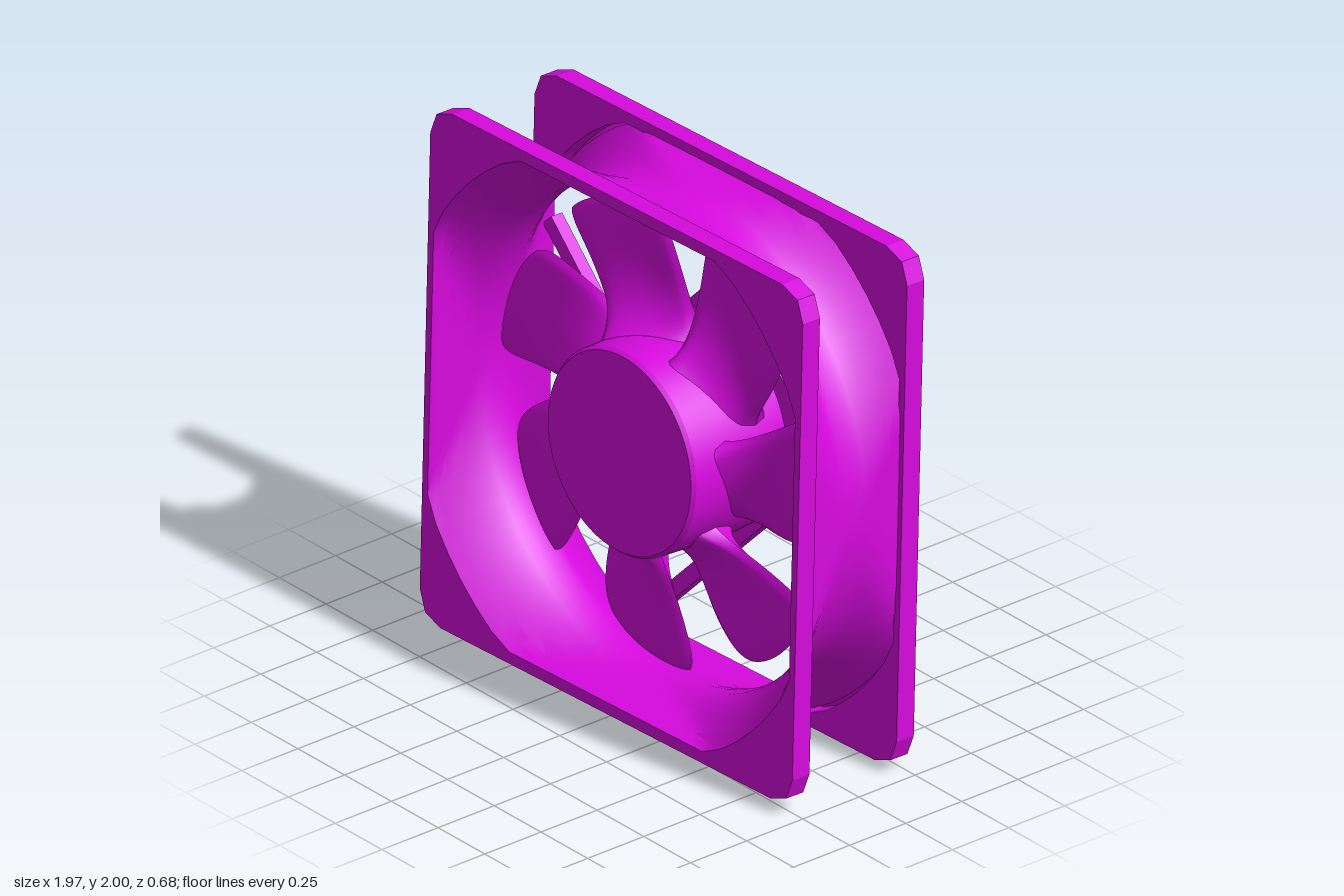
import * as THREE from 'three';
import { toCreasedNormals } from 'three/addons/utils/BufferGeometryUtils.js';

const HALF_W = 0.964, HALF_H = 0.979, HALF_D = 0.277, FLANGE = 0.078;
const material = new THREE.MeshStandardMaterial({ color: 0xd60ade, side: THREE.DoubleSide });
const rad = THREE.MathUtils.degToRad;

function part(name, geometry) {
  const mesh = new THREE.Mesh(geometry, material);
  mesh.name = name;
  return mesh;
}

// Surface through f(u, v) -> [x, y, z], facing dU x dV
function grid(nu, nv, f) {
  const pos = [], index = [];
  for (let i = 0; i <= nu; i++) {
    for (let j = 0; j <= nv; j++) {
      pos.push(...f(i / nu, j / nv));
      if (i < nu && j < nv) {
        const a = i * (nv + 1) + j, b = a + nv + 1;
        index.push(a, b, a + 1, b, b + 1, a + 1);
      }
    }
  }
  const g = new THREE.BufferGeometry();
  g.setAttribute('position', new THREE.Float32BufferAttribute(pos, 3));
  g.setIndex(index);
  g.computeVertexNormals();
  return g;
}

// Duct cross-section: a circle that widens into the corners towards both ends
function ductPoint(angle, z, wall) {
  const a = Math.max(0, (Math.abs(z) - 0.04) / (HALF_D - 0.04)) ** 1.4;
  const c = Math.cos(angle), s = Math.sin(angle);
  const side = (0.92 + 0.015 * a) / Math.max(Math.abs(c), Math.abs(s));
  const r = Math.min(0.92 + 0.15 * a, side) + wall;
  return [r * c, r * s, z];
}

function ductSurface(wall, dir, depth) {
  return toCreasedNormals(
    grid(64, 16, (u, v) => ductPoint(u * Math.PI * 2, dir * (2 * v - 1) * depth, wall)), 0.6);
}

// Square flange with cut corners and the duct opening
function flangeGeometry() {
  const pts = [];
  for (const [sx, sy] of [[1, 1], [-1, 1], [-1, -1], [1, -1]]) {
    const corner = [[0, 0.11], [0.03, 0.03], [0.11, 0]]
      .map(([dx, dy]) => new THREE.Vector2(sx * (HALF_W - dx), sy * (HALF_H - dy)));
    pts.push(...(sx * sy > 0 ? corner : corner.reverse()));
  }
  const shape = new THREE.Shape(pts);
  const hole = [];
  for (let i = 0; i < 64; i++) {
    const [x, y] = ductPoint(i / 64 * Math.PI * 2, HALF_D, 0);
    hole.push(new THREE.Vector2(x, y));
  }
  shape.holes.push(new THREE.Path(hole));
  return new THREE.ExtrudeGeometry(shape, { depth: FLANGE, bevelEnabled: false });
}

// Motor plate with four tangential struts, as one outline
function mountGeometry() {
  const R = 0.395, inner = 0.337, reach = 0.93, pts = [];
  const fillet = new THREE.QuadraticBezierCurve(
    new THREE.Vector2(R * Math.cos(rad(122)), R * Math.sin(rad(122))),
    new THREE.Vector2(-0.32, 0.235), new THREE.Vector2(-inner, 0.37));
  const quarter = [new THREE.Vector2(reach, inner), new THREE.Vector2(reach, R)];
  for (let a = 90; a < 122; a += 8) {
    quarter.push(new THREE.Vector2(R * Math.cos(rad(a)), R * Math.sin(rad(a))));
  }
  quarter.push(...fillet.getPoints(8));
  for (let k = 0; k < 4; k++) {
    const turn = rad(45 + 90 * k);
    pts.push(...quarter.map((p) => p.clone().rotateAround(new THREE.Vector2(), turn)));
  }
  return new THREE.ExtrudeGeometry(new THREE.Shape(pts), { depth: 0.05, bevelEnabled: false });
}

// One side of a broad, gently twisted blade with a thick root (side = 1 front, -1 back)
function bladeSurface(side) {
  return grid(28, 20, (s, v) => {
    const t = side > 0 ? v : 1 - v;
    const tip = 0.856 - 0.03 * (1 - t) ** 5 - 0.01 * t ** 12;
    const r = 0.35 + s * (tip - 0.35);
    const trailing = 94 - 18 * (1 - s) - 10 * (1 - s) ** 8 + 3 * s ** 16;
    const leading = 128 - 8 * (1 - s) ** 1.6 + 6 * (1 - s) ** 9 - 1.5 * s ** 20;
    const angle = rad(THREE.MathUtils.lerp(trailing, leading, t));
    const pitch = 0.01 + 0.08 * (1 - s) ** 2.5;
    const edge = Math.sqrt(1 - (2 * t - 1) ** 6) * Math.sqrt(1 - s ** 10);
    const thick = (0.015 + 0.12 * (1 - s) ** 6) * edge;
    return [r * Math.cos(angle), r * Math.sin(angle), 0.01 + (2 * t - 1) * pitch + side * thick];
  });
}

export function createModel() {
  const model = new THREE.Group();
  model.name = 'caseFan';
  const fan = new THREE.Group();
  fan.name = 'fan';
  // The whole fan leans slightly
  fan.position.y = 1;
  fan.rotation.set(-0.038, 0.028, 0.013);
  model.add(fan);

  // Housing
  const flange = flangeGeometry();
  const front = part('frontFlange', flange);
  front.position.z = HALF_D - FLANGE;
  const back = part('backFlange', flange);
  back.position.z = -HALF_D;
  fan.add(front, back);
  fan.add(part('ductInside', ductSurface(0, -1, HALF_D)));
  fan.add(part('ductOutside', ductSurface(0.016, 1, HALF_D - FLANGE / 2)));

  // Rear motor mount
  const mount = part('motorMount', mountGeometry());
  mount.position.z = -HALF_D;
  fan.add(mount);

  // Rotor hub
  const profile = [[0, -0.19], [0.38, -0.19], [0.388, -0.1], [0.39, 0], [0.386, 0.1],
    [0.381, 0.225], [0.37, 0.24], [0, 0.24]].map(([x, y]) => new THREE.Vector2(x, y));
  const hub = new THREE.LatheGeometry(profile, 64).rotateX(Math.PI / 2);
  fan.add(part('hub', toCreasedNormals(hub, 0.5)));
  const motor = new THREE.CylinderGeometry(0.33, 0.33, 0.06, 40).rotateX(Math.PI / 2);
  motor.translate(0, 0, -0.21);
  fan.add(part('motor', motor));

  // Seven blades, set slightly off the hub centre
  const sides = [bladeSurface(1), bladeSurface(-1)];
  for (let i = 0; i < 7; i++) {
    const blade = new THREE.Group();
    blade.name = 'blade' + (i + 1);
    blade.add(part('bladeFront', sides[0]), part('bladeBack', sides[1]));
    blade.position.set(-0.013, -0.006, 0);
    blade.rotation.z = i / 7 * Math.PI * 2;
    fan.add(blade);
  }
  return model;
}
